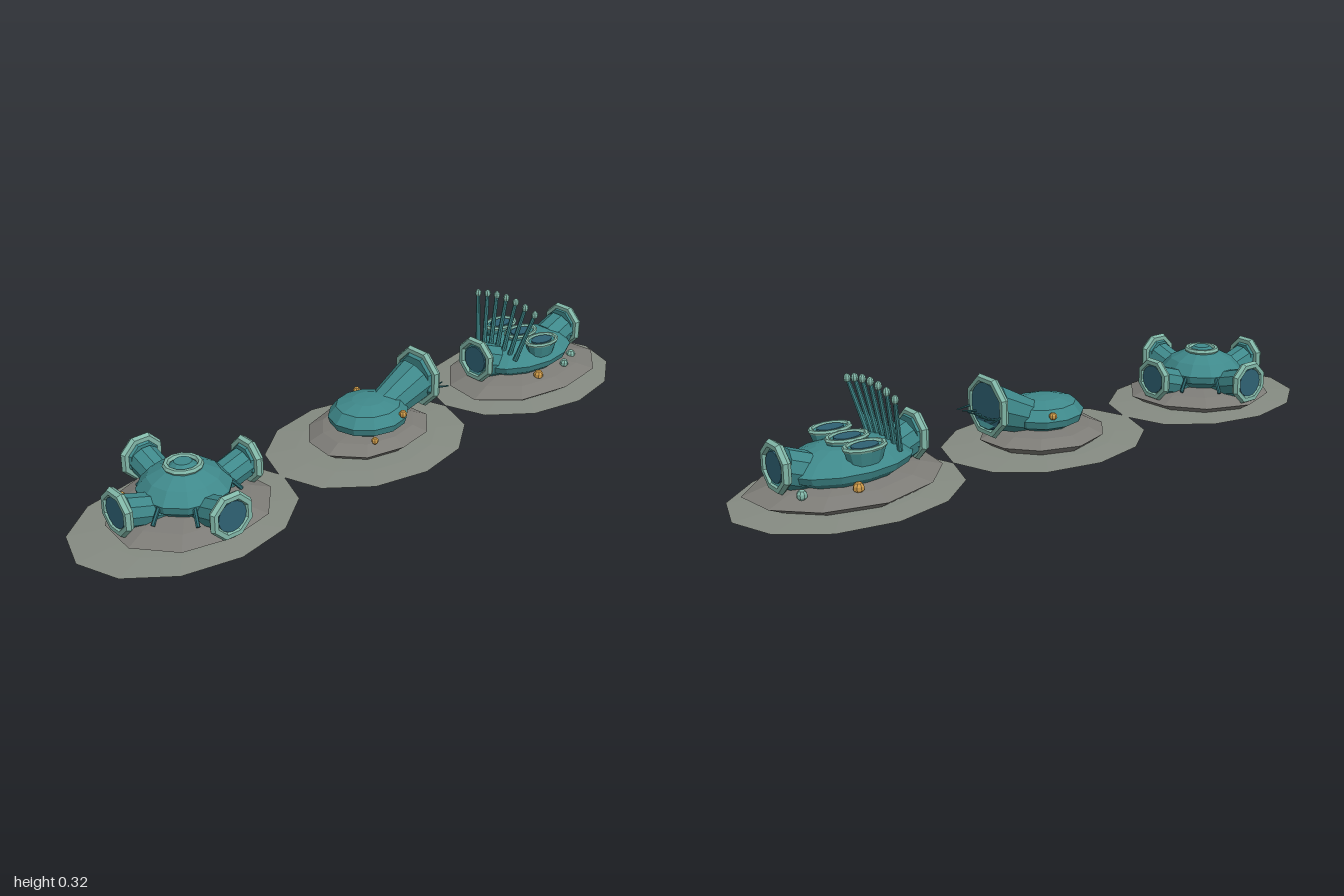
import * as THREE from 'three';

const mat = (name, color) => Object.assign(new THREE.MeshStandardMaterial({ color }), { name });

export function createModel() {
  const root = new THREE.Group();
  root.name = 'seabedHabitats';
  const M = {
    sand: mat('seabed grey', 0x858b82),
    rock: mat('rock grey', 0x7d7c77),
    hull: mat('hull teal', 0x3f898b),
    trim: mat('pale teal trim', 0x82b8a9),
    glass: mat('dark blue glass', 0x2f6274),
    dark: mat('deep teal struts', 0x2d6a70),
    amber: mat('amber lamp', 0xcf9c4a),
  };
  const V = (x, y, z) => new THREE.Vector3(x, y, z);

  // Faceted mesh helper
  function add(parent, name, geo, material, pos = [0, 0, 0], scale = [1, 1, 1]) {
    const g = geo.index ? geo.toNonIndexed() : geo;
    g.scale(...scale);
    g.computeVertexNormals();
    const m = new THREE.Mesh(g, material);
    m.name = name;
    m.position.set(...pos);
    parent.add(m);
    return m;
  }
  const lathe = (pts, sides) => new THREE.LatheGeometry(pts.map(p => new THREE.Vector2(...p)), sides);

  // Cylinder between two points
  function rod(parent, name, a, b, r0, r1, material, sides = 8) {
    const d = b.clone().sub(a);
    const m = add(parent, name, new THREE.CylinderGeometry(r1, r0, d.length(), sides), material,
      a.clone().add(b).multiplyScalar(0.5).toArray());
    m.quaternion.setFromUnitVectors(V(0, 1, 0), d.normalize());
    return m;
  }

  // Flat seabed disc
  function seabed(parent, rx) {
    add(parent, 'seabedDisc', lathe([[0, 0], [0.5, 0.001], [1, 0.01], [0.7, 0.015], [0, 0.018]], 12),
      M.sand, [0, 0, 0], [rx, 1, 0.258]);
  }

  // Uneven rock mound
  function mound(parent, x, z, rx, rz, top) {
    const g = lathe([[0, 0.012], [0.82, 0.016], [1, 0.04], [0.76, 0.06], [0.5, top], [0, top]], 10);
    const p = g.attributes.position;
    for (let i = 0; i < p.count; i++) {
      const a = Math.atan2(p.getZ(i), p.getX(i));
      const k = 1 + 0.035 * Math.sin(3 * a + x * 9) + 0.02 * Math.cos(5 * a);
      p.setXYZ(i, p.getX(i) * k, p.getY(i), p.getZ(i) * k);
    }
    add(parent, 'rockMound', g, M.rock, [x, 0, z], [rx, 1, rz]);
  }

  // Sloping tunnel along local +x ending in an upright ringed window
  function portal(parent, o) {
    const g = new THREE.Group();
    g.name = 'portal';
    g.position.x = o.x || 0;
    g.rotation.y = o.turn || 0;
    parent.add(g);
    rod(g, 'tunnel', V(o.d0, o.y0, 0), V(o.d1 - 0.012, o.y1 - 0.004, 0), o.r0, o.r1, M.hull, 10);
    const ring = add(g, 'portalRing', new THREE.TorusGeometry(o.ring - 0.013, 0.013, 6, 8), M.trim, [o.d1, o.y1, 0]);
    ring.rotation.set(0, Math.PI / 2, Math.PI / 8, 'YXZ');
    const back = add(g, 'portalFrame', new THREE.CylinderGeometry(o.ring - 0.013, o.r1, 0.02, 8), M.hull, [o.d1 - 0.008, o.y1, 0]);
    back.rotation.set(0, Math.PI / 8, -Math.PI / 2, 'ZYX');
    const pane = add(g, 'portalWindow', new THREE.CylinderGeometry(o.glass, o.glass, 0.006, 16), M.glass, [o.d1 + 0.004, o.y1, 0]);
    pane.rotation.z = -Math.PI / 2;
    return g;
  }

  // Small dome lamp or bump
  const bump = (parent, name, material, r, x, y, z) =>
    add(parent, name, new THREE.SphereGeometry(r, 8, 5), material, [x, y, z]);

  // Habitat with four crossing tunnels
  const hub = new THREE.Group();
  hub.name = 'crossHabitat';
  hub.position.x = -0.665;
  root.add(hub);
  seabed(hub, 0.335);
  mound(hub, 0.01, 0, 0.235, 0.215, 0.07);
  add(hub, 'hubHull', lathe([[0, 0.06], [0.09, 0.06], [0.125, 0.09], [0.13, 0.112], [0.1, 0.145],
    [0.058, 0.166], [0, 0.17]], 12), M.hull, [0.005, 0, 0]);
  const roofRing = add(hub, 'roofRing', new THREE.TorusGeometry(0.047, 0.009, 6, 12), M.trim, [0.005, 0.172, 0]);
  roofRing.rotation.x = -Math.PI / 2;
  add(hub, 'roofHatch', new THREE.CylinderGeometry(0.025, 0.045, 0.018, 10), M.hull, [0.005, 0.174, 0]);
  for (let i = 0; i < 4; i++) {
    portal(hub, { x: 0.005, turn: i * Math.PI / 2, d0: 0.085, y0: 0.072, d1: 0.208, y1: 0.11, r0: 0.044, r1: 0.046, ring: 0.07, glass: 0.044 });
  }
  for (let i = 0; i < 8; i++) {
    const a = (i + 0.5) * Math.PI / 4, c = Math.cos(a), s = Math.sin(a);
    rod(hub, 'hubStrut', V(0.005 + c * 0.105, 0.125, s * 0.105), V(0.005 + c * 0.155, 0.068, s * 0.155), 0.006, 0.006, M.dark, 6);
  }
  bump(hub, 'lamp', M.amber, 0.01, -0.12, 0.075, -0.115);

  // Small dome with one raised mouth
  const dome = new THREE.Group();
  dome.name = 'mouthHabitat';
  dome.position.x = -0.01;
  root.add(dome);
  seabed(dome, 0.33);
  mound(dome, 0.01, -0.01, 0.2, 0.165, 0.065);
  add(dome, 'domeHull', lathe([[0, 0.055], [0.08, 0.058], [0.118, 0.078], [0.125, 0.1], [0.1, 0.13],
    [0.05, 0.144], [0, 0.147]], 12), M.hull, [0.005, 0, 0], [1, 1, 0.92]);
  portal(dome, { d0: 0.05, y0: 0.09, d1: 0.207, y1: 0.155, r0: 0.05, r1: 0.068, ring: 0.096, glass: 0.07 });
  // Fringe of feelers before the mouth
  for (let i = -3; i <= 3; i++) {
    rod(dome, 'feeler', V(0.205, 0.115 + 0.003 * i * i, i * 0.024), V(0.258, 0.142 - 0.003 * Math.abs(i), i * 0.027), 0.004, 0.002, M.dark, 6);
  }
  for (const s of [-1, 1]) bump(dome, 'lamp', M.amber, 0.012, 0.05, 0.118, s * 0.103);
  bump(dome, 'lamp', M.amber, 0.011, -0.065, 0.073, 0.108);

  // Long habitat with a portal at each end
  const long = new THREE.Group();
  long.name = 'longHabitat';
  long.position.x = 0.66;
  root.add(long);
  seabed(long, 0.34);
  mound(long, -0.005, 0.01, 0.288, 0.2, 0.07);
  add(long, 'longHull', lathe([[0, 0.06], [0.75, 0.063], [0.95, 0.085], [1, 0.105], [0.8, 0.135],
    [0.45, 0.152], [0, 0.156]], 14), M.hull, [0, 0, 0], [0.195, 1, 0.13]);
  for (const turn of [0, Math.PI]) {
    portal(long, { turn, d0: 0.13, y0: 0.1, d1: 0.208, y1: 0.13, r0: 0.055, r1: 0.055, ring: 0.075, glass: 0.043 });
  }

  // Three oval skylights across the roof
  for (let i = -1; i <= 1; i++) {
    const g = new THREE.Group();
    g.name = 'skylight';
    g.position.set(-0.003, 0, i * 0.09);
    long.add(g);
    add(g, 'skylightCollar', new THREE.CylinderGeometry(1, 0.75, 0.045, 12), M.hull, [0, 0.142, 0], [0.064, 1, 0.038]);
    const rim = new THREE.TorusGeometry(1, 0.14, 6, 12);
    rim.rotateX(-Math.PI / 2);
    add(g, 'skylightRim', rim, M.trim, [0, 0.165, 0], [0.058, 0.05, 0.037]);
    add(g, 'skylightGlass', new THREE.CylinderGeometry(1, 1, 0.006, 12), M.glass, [0, 0.166, 0], [0.04, 1, 0.025]);
  }

  // Fan of seven knobbed masts
  for (let i = -3; i <= 3; i++) {
    const tip = V(-0.08, 0.303 - 0.0022 * i * i, i * 0.0405);
    rod(long, 'mast', V(-0.115, 0.125, i * 0.027), tip, 0.008, 0.006, M.hull);
    add(long, 'mastKnob', new THREE.SphereGeometry(0.0105, 8, 6), M.trim, tip.toArray(), [1, 1.25, 1]);
  }

  // Lamps and stones around the long hull
  bump(long, 'lamp', M.amber, 0.016, -0.05, 0.07, 0.126);
  bump(long, 'lamp', M.amber, 0.016, 0.04, 0.07, -0.124);
  bump(long, 'paleStone', M.trim, 0.015, 0.155, 0.066, 0.085);
  bump(long, 'paleStone', M.trim, 0.015, 0.175, 0.066, -0.07);
  bump(long, 'paleStone', M.trim, 0.014, 0.075, 0.072, 0.125);

  return root;
}
